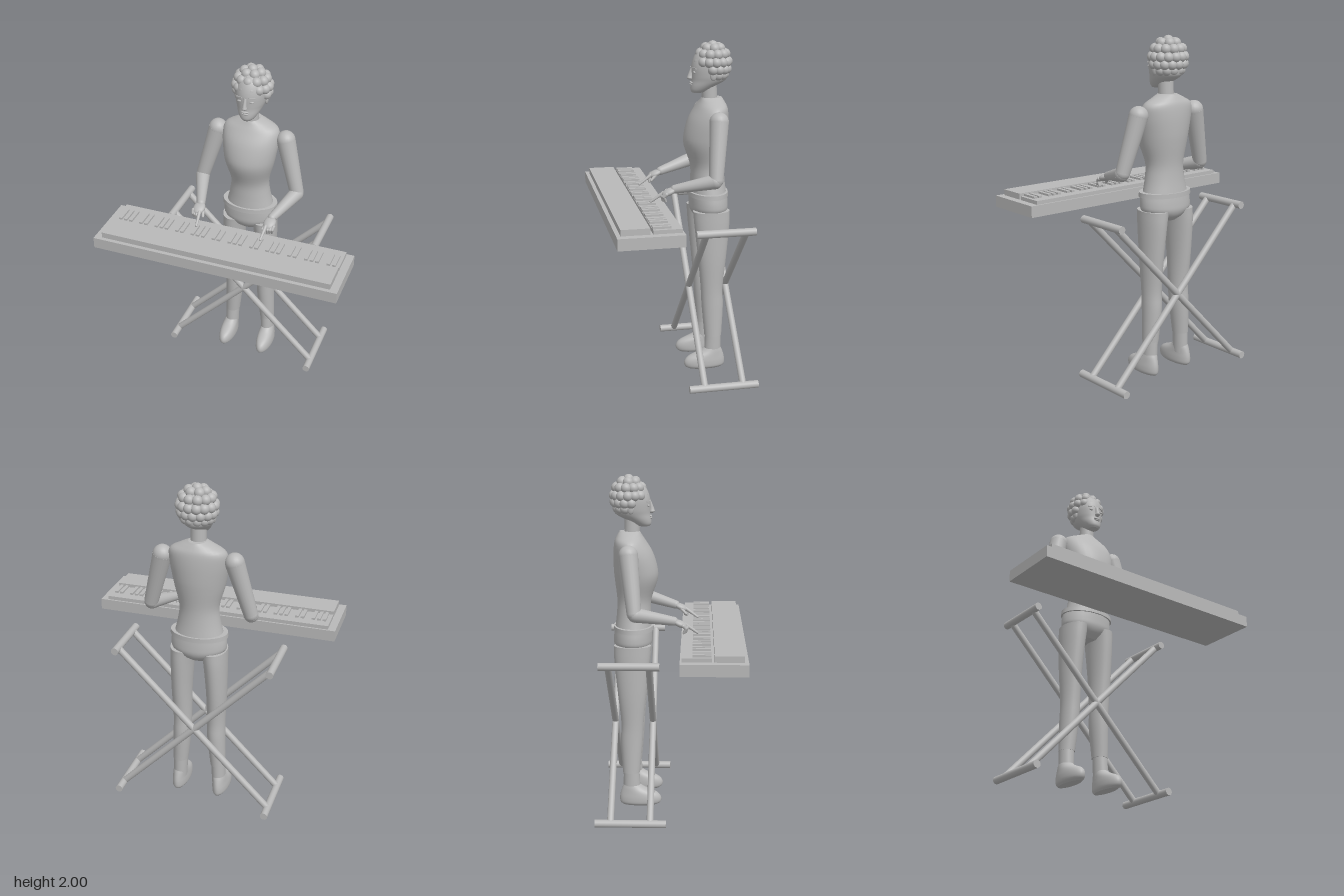
import * as THREE from 'three';

const grey = new THREE.MeshStandardMaterial({ color: 0xb8b8b8 });
grey.name = 'plainGrey';
const V = (x, y, z) => new THREE.Vector3(x, y, z);

function add(parent, name, geometry) {
  const mesh = new THREE.Mesh(geometry, grey);
  mesh.name = name;
  parent.add(mesh);
  return mesh;
}

function box(parent, name, w, h, d, x, y, z) {
  const mesh = add(parent, name, new THREE.BoxGeometry(w, h, d));
  mesh.position.set(x, y, z);
  return mesh;
}

function ball(parent, name, x, y, z, rx, ry = rx, rz = rx) {
  const mesh = add(parent, name, new THREE.SphereGeometry(1, 20, 14));
  mesh.position.set(x, y, z);
  mesh.scale.set(rx, ry, rz);
  return mesh;
}

// Tapered round bar from a to b
function bar(parent, name, a, b, ra, rb = ra) {
  const mesh = add(parent, name, new THREE.CylinderGeometry(rb, ra, a.distanceTo(b), 20));
  mesh.position.copy(a).lerp(b, 0.5);
  mesh.quaternion.setFromUnitVectors(V(0, 1, 0), b.clone().sub(a).normalize());
  return mesh;
}

// Bar with rounded ends
function limb(parent, name, a, b, ra, rb) {
  const g = new THREE.Group();
  g.name = name;
  bar(g, name + 'Shaft', a, b, ra, rb);
  ball(g, name + 'Start', a.x, a.y, a.z, ra);
  ball(g, name + 'End', b.x, b.y, b.z, rb);
  parent.add(g);
  return g;
}

// Smooth body from oval sections, low to high: [y, centreX, radiusX, frontZ, backZ]
function loft(sections, steps = 4, sides = 32) {
  const centre = new THREE.CatmullRomCurve3(sections.map(s => V(s[1], s[0], (s[3] + s[4]) / 2)), false, 'catmullrom');
  const radius = new THREE.CatmullRomCurve3(sections.map(s => V(s[2], 0, (s[3] - s[4]) / 2)), false, 'catmullrom');
  const rows = (sections.length - 1) * steps;
  const pos = [], idx = [];
  const ring = t => {
    const c = centre.getPoint(t), r = radius.getPoint(t);
    for (let j = 0; j < sides; j++) {
      const a = j / sides * Math.PI * 2;
      pos.push(c.x + Math.cos(a) * r.x, c.y, c.z + Math.sin(a) * r.z);
    }
    return c;
  };
  for (let i = 0; i <= rows; i++) ring(i / rows);
  for (let i = 0; i < rows; i++) {
    for (let j = 0; j < sides; j++) {
      const k = (j + 1) % sides, p = i * sides, q = p + sides;
      idx.push(p + j, q + j, p + k, p + k, q + j, q + k);
    }
  }
  // Flat end caps
  for (const t of [0, 1]) {
    const start = pos.length / 3, c = ring(t), mid = start + sides;
    pos.push(c.x, c.y, c.z);
    for (let j = 0; j < sides; j++) {
      const p = start + j, q = start + (j + 1) % sides;
      t ? idx.push(mid, q, p) : idx.push(mid, p, q);
    }
  }
  const g = new THREE.BufferGeometry();
  g.setAttribute('position', new THREE.Float32BufferAttribute(pos, 3));
  g.setIndex(idx);
  g.computeVertexNormals();
  return g;
}

function makeKeyboard() {
  const g = new THREE.Group();
  g.name = 'keyboard';
  box(g, 'keyboardBody', 1.48, 0.067, 0.37, 0, 1.0335, 0.247);
  box(g, 'controlPanel', 1.39, 0.035, 0.16, 0, 1.0845, 0.329);
  box(g, 'whiteKeys', 1.39, 0.022, 0.16, 0, 1.078, 0.153);
  // Six octaves of raised keys in threes and twos
  for (let i = 0; i < 42; i++) {
    if ([1, 2, 3, 5, 6].includes(i % 7)) box(g, 'blackKey', 0.02, 0.014, 0.102, -0.693 + i * 0.0331, 1.094, 0.181);
  }
  return g;
}

function makeStand() {
  const g = new THREE.Group();
  g.name = 'stand';
  for (const s of [-1, 1]) {
    for (const z of [-0.113, -0.344]) bar(g, 'crossTube', V(s * 0.465, 0.023, z), V(-s * 0.465, 0.973, z), 0.02);
    bar(g, 'topRail', V(s * 0.465, 0.973, -0.055), V(s * 0.465, 0.973, -0.4), 0.0225);
    bar(g, 'footRail', V(s * 0.465, 0.0225, -0.02), V(s * 0.465, 0.0225, -0.435), 0.0225);
  }
  return g;
}

function makeHead() {
  const g = new THREE.Group();
  g.name = 'head';
  bar(g, 'neck', V(0, 1.64, -0.232), V(0, 1.78, -0.228), 0.046, 0.044);
  add(g, 'skull', loft([
    [1.70, 0, 0.03, -0.127, -0.19], [1.715, 0, 0.046, -0.118, -0.225], [1.74, 0, 0.063, -0.118, -0.27],
    [1.77, 0, 0.078, -0.122, -0.325], [1.80, 0, 0.087, -0.122, -0.338], [1.85, 0, 0.092, -0.122, -0.34],
    [1.90, 0, 0.088, -0.135, -0.338], [1.94, 0, 0.07, -0.16, -0.32], [1.965, 0, 0.03, -0.2, -0.28]]));
  add(g, 'nose', loft([
    [1.776, 0, 0.008, -0.108, -0.13], [1.785, 0, 0.016, -0.096, -0.13],
    [1.8, 0, 0.012, -0.1, -0.13], [1.845, 0, 0.008, -0.117, -0.13]], 3, 16));
  ball(g, 'upperLip', 0, 1.759, -0.121, 0.024, 0.006, 0.009);
  ball(g, 'lowerLip', 0, 1.749, -0.12, 0.02, 0.006, 0.009);
  for (const s of [-1, 1]) {
    ball(g, 'eye', s * 0.036, 1.822, -0.131, 0.015, 0.007, 0.007);
    const brow = box(g, 'eyebrow', 0.042, 0.006, 0.008, s * 0.038, 1.846, -0.131);
    brow.rotation.set(0, s * 0.38, -s * 0.1);
    ball(g, 'ear', s * 0.091, 1.81, -0.232, 0.011, 0.033, 0.02);
  }
  // Rings of curls; the lower rings leave the face free
  const rings = [[90, 1, 1], [60, 6, 1], [33, 11, 1], [6, 14, 1], [-18, 14, -0.2], [-40, 12, -0.25]];
  rings.forEach(([deg, count, maxZ], row) => {
    const e = THREE.MathUtils.degToRad(deg);
    for (let i = 0; i < count; i++) {
      const a = (i + (row % 2) / 2) / count * Math.PI * 2;
      const z = -0.248 + 0.087 * Math.cos(e) * Math.cos(a);
      if (z < maxZ) ball(g, 'curl', 0.096 * Math.cos(e) * Math.sin(a), 1.87 + 0.1 * Math.sin(e), z, 0.03);
    }
  });
  return g;
}

function makeArm(s) {
  const g = new THREE.Group();
  g.name = s > 0 ? 'leftArm' : 'rightArm';
  const P = (x, y, z) => V(s * x, y, z);
  limb(g, 'upperArm', P(0.212, 1.56, -0.24), P(0.3, 1.24, -0.205), 0.056, 0.042);
  limb(g, 'forearm', P(0.3, 1.232, -0.198), P(0.224, 1.18, 0.02), 0.043, 0.026);
  const palm = ball(g, 'palm', s * 0.222, 1.165, 0.055, 0.036, 0.02, 0.045);
  palm.rotation.x = 0.4;
  // Pointing finger, curled fingers and thumb
  limb(g, 'pointingFinger', P(0.208, 1.158, 0.085), P(0.2, 1.107, 0.157), 0.011, 0.007);
  for (let i = 0; i < 3; i++) {
    const x = 0.226 + i * 0.013;
    limb(g, 'fingerBase', P(x, 1.158, 0.075), P(x - 0.003, 1.142, 0.097 - i * 0.004), 0.011, 0.009);
    limb(g, 'fingerTip', P(x - 0.003, 1.142, 0.097 - i * 0.004), P(x - 0.008, 1.115, 0.09 - i * 0.006), 0.009, 0.007);
  }
  limb(g, 'thumb', P(0.2, 1.165, 0.05), P(0.187, 1.13, 0.085), 0.012, 0.008);
  return g;
}

function makeLeg(s) {
  const g = new THREE.Group();
  g.name = s > 0 ? 'leftLeg' : 'rightLeg';
  const side = rows => rows.map(([y, x, ...rest]) => [y, s * x, ...rest]);
  add(g, 'trouserLeg', loft(side([
    [0.21, 0.12, 0.046, -0.188, -0.293], [0.4, 0.108, 0.054, -0.172, -0.304], [0.52, 0.106, 0.055, -0.165, -0.3],
    [0.7, 0.108, 0.06, -0.148, -0.318], [0.9, 0.102, 0.068, -0.126, -0.337], [1.0, 0.094, 0.075, -0.118, -0.34]])));
  add(g, 'ankle', loft(side([[0.08, 0.125, 0.041, -0.185, -0.288], [0.22, 0.121, 0.043, -0.192, -0.289]])));
  add(g, 'shoe', loft(side([
    [0.004, 0.128, 0.036, -0.085, -0.297], [0.02, 0.13, 0.049, -0.063, -0.31], [0.05, 0.13, 0.051, -0.06, -0.312],
    [0.08, 0.129, 0.048, -0.085, -0.307], [0.11, 0.127, 0.043, -0.155, -0.297], [0.13, 0.125, 0.04, -0.187, -0.288]])));
  return g;
}

function makePlayer() {
  const g = new THREE.Group();
  g.name = 'player';
  add(g, 'torso', loft([
    [1.09, 0, 0.146, -0.118, -0.337], [1.18, 0, 0.125, -0.122, -0.326], [1.27, 0, 0.117, -0.118, -0.323],
    [1.38, 0, 0.146, -0.082, -0.335], [1.45, 0, 0.16, -0.081, -0.341], [1.54, 0, 0.172, -0.108, -0.342],
    [1.61, 0, 0.165, -0.15, -0.335], [1.645, 0, 0.11, -0.172, -0.32], [1.67, 0, 0.052, -0.185, -0.305]]));
  add(g, 'belt', loft([[1.08, 0, 0.172, -0.105, -0.346], [1.107, 0, 0.17, -0.107, -0.345]], 1));
  add(g, 'hips', loft([
    [0.935, 0, 0.07, -0.17, -0.29], [0.965, 0, 0.115, -0.135, -0.328], [1.0, 0, 0.16, -0.117, -0.345],
    [1.04, 0, 0.166, -0.114, -0.345], [1.09, 0, 0.16, -0.114, -0.34]]));
  g.add(makeHead());
  for (const s of [-1, 1]) g.add(makeArm(s), makeLeg(s));
  return g;
}

export function createModel() {
  const model = new THREE.Group();
  model.name = 'keyboardPlayer';
  model.add(makeKeyboard(), makeStand(), makePlayer());
  return model;
}
